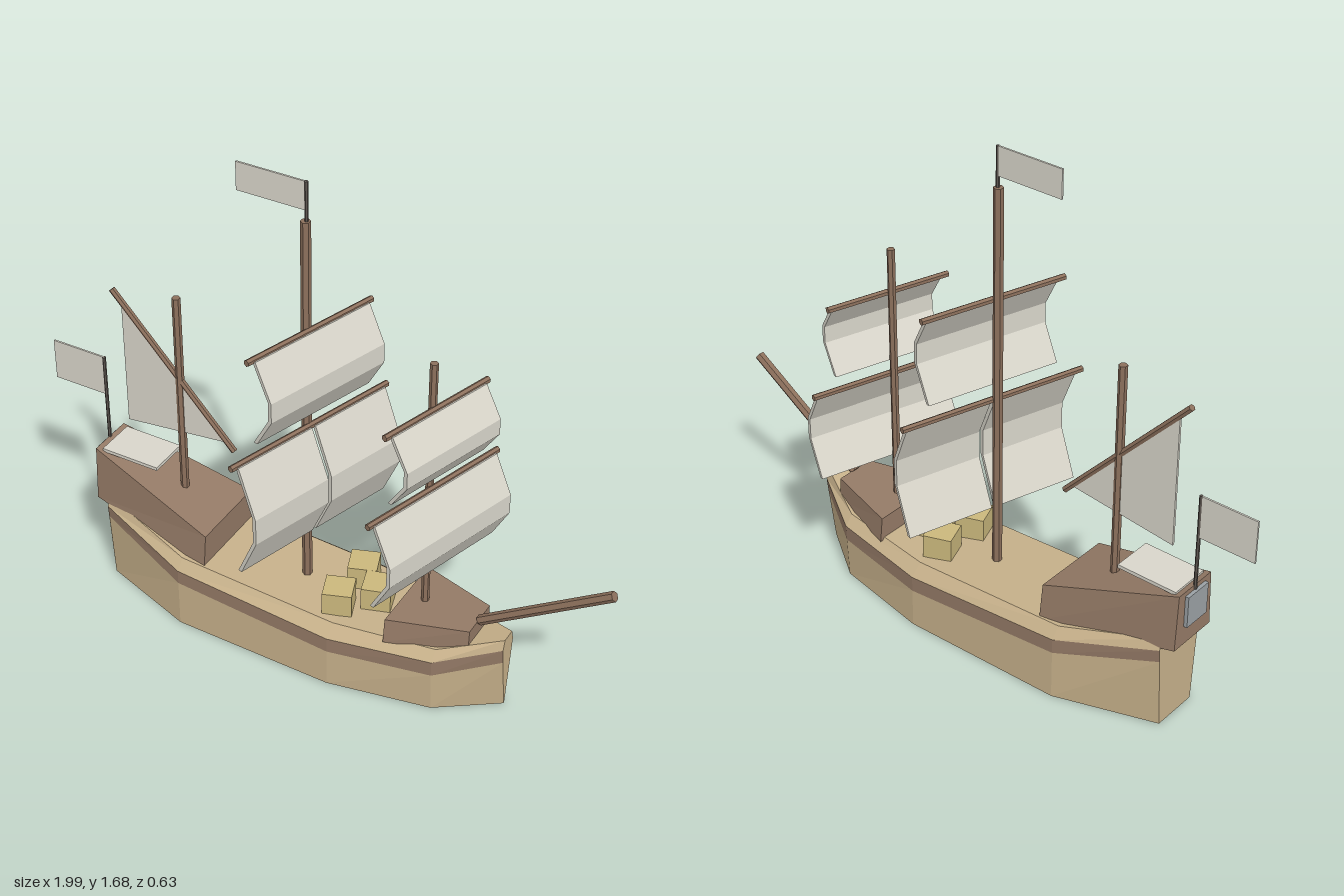
import * as THREE from 'three';

const mat = (name, color) => {
  const m = new THREE.MeshStandardMaterial({ color, flatShading: true });
  m.name = name;
  return m;
};

export function createModel() {
  const root = new THREE.Group();
  root.name = 'sailingShip';
  const tan = mat('palePlanks', 0xc6b08a);
  const brown = mat('darkPlanks', 0x947a66);
  const spar = mat('sparWood', 0x8c705c);
  const cloth = mat('sailCloth', 0xd8d5ca);
  const crateWood = mat('crateWood', 0xcab77c);
  const iron = mat('darkIron', 0x5c554f);
  const glass = mat('windowGlass', 0x9aa0a4);
  cloth.side = THREE.DoubleSide;

  const add = (name, geo, material, parent = root) => {
    const m = new THREE.Mesh(geo, material);
    m.name = name;
    parent.add(m);
    return m;
  };

  // Joins closed cross-sections along x; each section lists [x, y, z] for the
  // +z side from bottom to top and is mirrored. slots gives a material per strip.
  const loft = (halves, slots) => {
    const rings = halves.map(h => [...h, ...[...h].reverse().map(([x, y, z]) => [x, y, -z])]);
    const n = rings[0].length, pos = [], geo = new THREE.BufferGeometry();
    const tri = (a, b, c, slot) => {
      geo.addGroup(pos.length / 3, 3, slot);
      pos.push(...a, ...b, ...c);
    };
    for (let j = 0; j < n; j++) {
      const k = (j + 1) % n;
      for (let i = 0; i < rings.length - 1; i++) {
        const a = rings[i][j], b = rings[i + 1][j], c = rings[i + 1][k], d = rings[i][k];
        tri(a, b, c, slots[j]);
        tri(a, c, d, slots[j]);
      }
    }
    const s = rings[0], e = rings[rings.length - 1];
    for (let j = 1; j < n - 1; j++) {
      tri(s[0], s[j], s[j + 1], 0);
      tri(e[0], e[j + 1], e[j], 0);
    }
    geo.setAttribute('position', new THREE.Float32BufferAttribute(pos, 3));
    geo.computeVertexNormals();
    return geo;
  };

  // Round spar between two points
  const rod = (name, a, b, r, material = spar, parent = root) => {
    const p = new THREE.Vector3(...a), q = new THREE.Vector3(...b);
    const m = add(name, new THREE.CylinderGeometry(r, r, p.distanceTo(q), 6), material, parent);
    m.position.copy(p).add(q).multiplyScalar(0.5);
    m.quaternion.setFromUnitVectors(new THREE.Vector3(0, 1, 0), q.sub(p).normalize());
    return m;
  };

  const box = (name, size, at, material) => {
    const m = add(name, new THREE.BoxGeometry(...size), material);
    m.position.set(...at);
    return m;
  };

  // Hull: x, bottom half width, side half width, deck half width, band bottom, band top, deck height
  const hull = [
    [-0.76, 0.08, 0.10, 0.085, 0.25, 0.295, 0.33],
    [-0.43, 0.19, 0.19, 0.16, 0.17, 0.22, 0.255],
    [0.13, 0.20, 0.20, 0.16, 0.135, 0.188, 0.225],
    [0.47, 0.135, 0.145, 0.115, 0.145, 0.2, 0.232],
    [0.66, 0.002, 0.035, 0.025, 0.195, 0.25, 0.285],
  ].map(([x, wb, w, wi, y1, y2, y3]) => [
    [x, 0, wb], [x, y1, wb + (w - wb) * 0.8], [x, y2, w], [x, y3, wi],
  ]);
  add('hull', loft(hull, [0, 1, 0, 0, 0, 1, 0, 0]), [tan, brown]);

  // Raised cabins at both ends
  const block = (name, back, front) =>
    add(name, loft([back, front].map(([x, y0, w0, y1, w1]) => [[x, y0, w0], [x, y1, w1]]), [0, 0, 0, 0]), [brown]);
  block('sternCabin', [-0.805, 0.31, 0.09, 0.505, 0.08], [-0.35, 0.235, 0.155, 0.36, 0.14]);
  block('foreCabin', [0.305, 0.22, 0.155, 0.305, 0.145], [0.56, 0.225, 0.075, 0.31, 0.07]);
  box('sternWindow', [0.012, 0.11, 0.1], [-0.812, 0.435, 0], glass);
  box('cabinHatch', [0.21, 0.012, 0.14], [-0.68, 0.5, 0], cloth);

  // Masts and bowsprit
  rod('mizzenMast', [-0.515, 0.38, 0], [-0.515, 1.14, 0], 0.014);
  rod('mainMast', [-0.055, 0.22, 0], [-0.055, 1.55, 0], 0.016);
  rod('foreMast', [0.37, 0.28, 0], [0.37, 1.205, 0], 0.013);
  rod('bowsprit', [0.56, 0.305, 0], [0.985, 0.588, 0], 0.017);

  // Flags on thin poles
  const flag = (x, y0, y1, w, h) => {
    rod('flagPole', [x, y0, 0], [x, y1, 0], 0.006, iron);
    box('flag', [w, h, 0.006], [x - w / 2, y1 - h / 2, 0], cloth);
  };
  flag(-0.052, 1.5, 1.68, 0.233, 0.094);
  flag(-0.805, 0.4, 0.82, 0.195, 0.145);

  // Bellied square sails, each hung from a turned yard
  const squareSail = (name, x, top, bottom, yardHalf, sailHalf, belly, panels) => {
    const g = new THREE.Group();
    g.name = name;
    g.position.set(x, 0, 0);
    g.rotation.y = -0.3;
    root.add(g);
    rod('yard', [0, top, -yardHalf], [0, top, yardHalf], 0.011, spar, g);
    const t = 0.014, h = top - bottom;
    const curve = [[0, top], [belly, top - h * 0.39], [belly, top - h * 0.62], [0, bottom]];
    const outline = [...curve, ...[...curve].reverse().map(([u, v]) => [u + t, v])];
    const shape = new THREE.Shape(outline.map(p => new THREE.Vector2(...p)));
    const gap = 0.014, depth = (2 * sailHalf - gap * (panels - 1)) / panels;
    for (let i = 0; i < panels; i++) {
      const m = add('sail', new THREE.ExtrudeGeometry(shape, { depth, bevelEnabled: false }), cloth, g);
      m.position.z = -sailHalf + i * (depth + gap);
    }
  };
  squareSail('mainLowerSail', -0.04, 0.832, 0.43, 0.325, 0.305, 0.072, 2);
  squareSail('mainUpperSail', -0.04, 1.18, 0.885, 0.252, 0.23, 0.066, 1);
  squareSail('foreLowerSail', 0.385, 0.757, 0.445, 0.278, 0.26, 0.066, 1);
  squareSail('foreUpperSail', 0.385, 1.05, 0.805, 0.215, 0.195, 0.062, 1);

  // Triangular sail on a slanted yard
  const lateen = new THREE.Shape([[-0.72, 1.05], [-0.72, 0.607], [-0.345, 0.652]].map(p => new THREE.Vector2(...p)));
  const sail = add('lateenSail', new THREE.ExtrudeGeometry(lateen, { depth: 0.008, bevelEnabled: false }), cloth);
  sail.position.z = -0.004;
  rod('lateenYard', [-0.755, 1.095, 0], [-0.32, 0.625, 0], 0.011);

  // Cargo crates on deck
  for (const [x, z, turn] of [[0.115, -0.07, 0.35], [0.205, 0, 0.3], [0.107, 0.08, 0.35], [0.11, 0.005, -0.5]].slice(0, 3)) {
    box('crate', [0.095, 0.09, 0.095], [x, 0.262, z], crateWood).rotation.y = turn;
  }
  return root;
}
